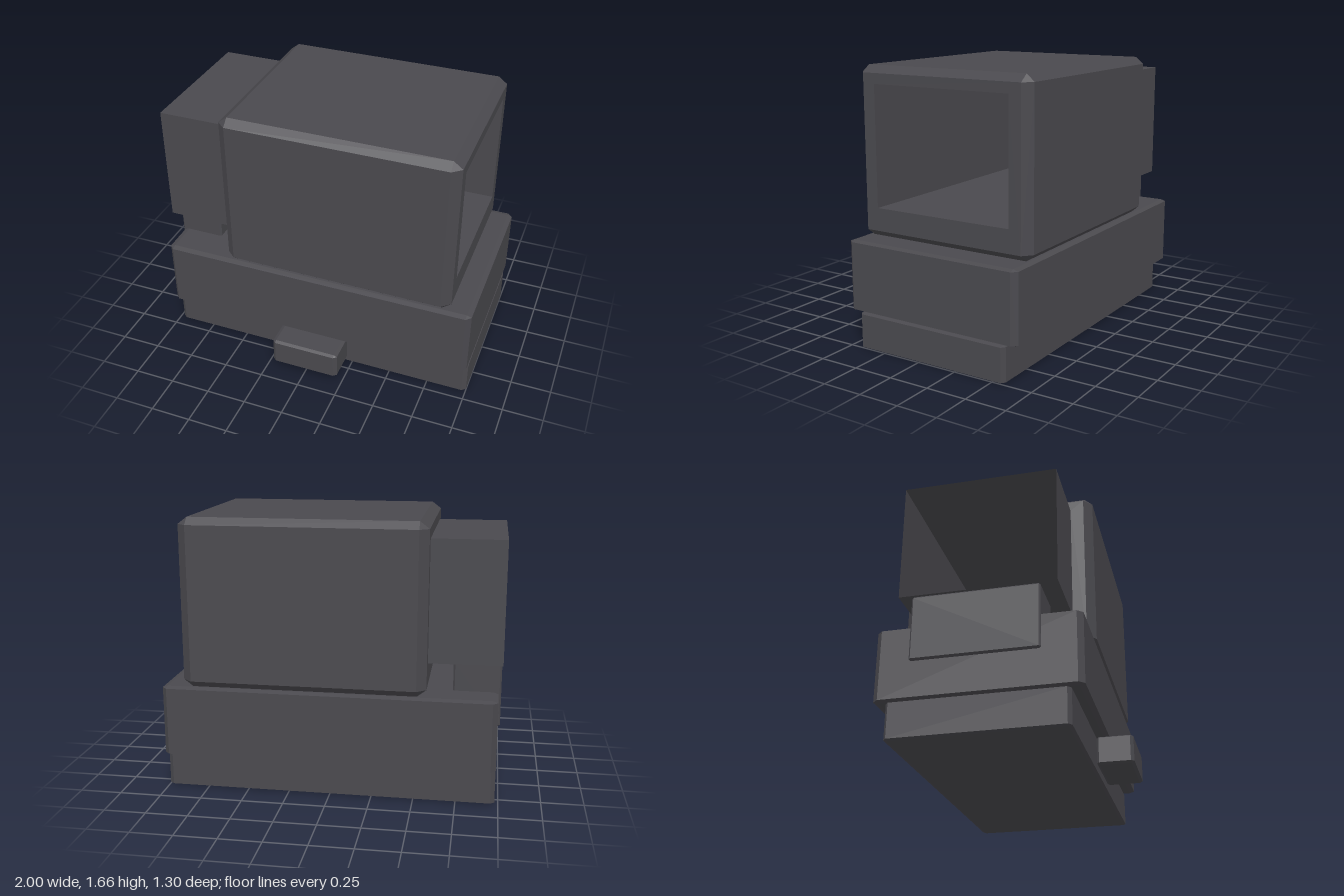
import * as THREE from 'three';
import { ConvexGeometry } from 'three/addons/geometries/ConvexGeometry.js';

// Box from min to max corner, with a separate chamfer size along each axis
function chamferBox(min, max, chamfer) {
  const points = [];
  for (let corner = 0; corner < 8; corner++) {
    for (let face = 0; face < 3; face++) {
      points.push(new THREE.Vector3(...[0, 1, 2].map((axis) => {
        const high = (corner >> axis) & 1;
        const inset = axis === face ? 0 : chamfer[axis];
        return high ? max[axis] - inset : min[axis] + inset;
      })));
    }
  }
  return new ConvexGeometry(points);
}

// Drop the flat triangles that face along x, leaving a sleeve open at both ends
function openEnds(source) {
  const geometry = source.index ? source.toNonIndexed() : source;
  const p = geometry.attributes.position;
  const kept = [];
  const tri = new THREE.Triangle();
  const normal = new THREE.Vector3();
  for (let i = 0; i < p.count; i += 3) {
    tri.setFromAttributeAndIndices(p, i, i + 1, i + 2);
    tri.getNormal(normal);
    if (Math.abs(normal.x) < 0.99) {
      for (const v of [tri.a, tri.b, tri.c]) kept.push(v.x, v.y, v.z);
    }
  }
  const open = new THREE.BufferGeometry();
  open.setAttribute('position', new THREE.Float32BufferAttribute(kept, 3));
  open.computeVertexNormals();
  return open;
}

// Rectangle outline between two corners
function rectangle(path, x0, y0, x1, y1) {
  path.moveTo(x0, y0);
  path.lineTo(x1, y0);
  path.lineTo(x1, y1);
  path.lineTo(x0, y1);
  path.closePath();
  return path;
}

export function createModel() {
  const group = new THREE.Group();
  const charcoal = new THREE.MeshStandardMaterial({ color: 0x4a494e });
  charcoal.name = 'charcoal';
  const thinCharcoal = charcoal.clone();
  thinCharcoal.side = THREE.DoubleSide;

  function add(name, geometry, material = charcoal) {
    const mesh = new THREE.Mesh(geometry, material);
    mesh.name = name;
    group.add(mesh);
    return mesh;
  }

  // Mount: foot, body, side knob and the block under the hood
  add('foot', chamferBox([-0.98, 0, -0.575], [1, 0.215, 0.435], [0.025, 0.006, 0.02]));
  add('body', chamferBox([-0.98, 0.22, -0.65], [1, 0.65, 0.505], [0.03, 0.01, 0.032]));
  add('knob', chamferBox([-0.21, 0.045, 0.43], [0.22, 0.215, 0.65], [0.02, 0.01, 0.018]));
  add('hoodBlock', chamferBox([-0.995, 0.44, -0.45], [-0.715, 0.828, 0.28], [0.01, 0.01, 0.01]));

  // Housing shell, open at both ends
  const min = [-0.57, 0.65, -0.65];
  const max = [0.87, 1.657, 0.505];
  const chamfer = [0.055, 0.042, 0.048];
  add('housing', openEnds(chamferBox(min, max, chamfer)));

  // Window opening that runs right through
  const win = { y0: 0.83, y1: 1.553, z0: -0.525, z1: 0.378 };

  // End frames around the window
  for (const side of [1, -1]) {
    const zs = (a, b) => [-side * a, -side * b].sort((m, n) => m - n);
    const [o0, o1] = zs(min[2] + chamfer[2], max[2] - chamfer[2]);
    const [h0, h1] = zs(win.z0, win.z1);
    const frame = rectangle(new THREE.Shape(), o0, min[1] + chamfer[1], o1, max[1] - chamfer[1]);
    frame.holes.push(rectangle(new THREE.Path(), h0, win.y0, h1, win.y1));
    const mesh = add(side > 0 ? 'frontFrame' : 'rearFrame', new THREE.ShapeGeometry(frame));
    mesh.rotation.y = side * Math.PI / 2;
    mesh.position.x = side > 0 ? max[0] : min[0];
  }

  // Thin-walled tunnel lining the housing and projecting as the hood
  const tunnel = new THREE.BoxGeometry(1.87, win.y1 - win.y0, win.z1 - win.z0);
  tunnel.translate(-0.065, (win.y0 + win.y1) / 2, (win.z0 + win.z1) / 2);
  add('hoodTunnel', openEnds(tunnel), thinCharcoal);

  return group;
}
